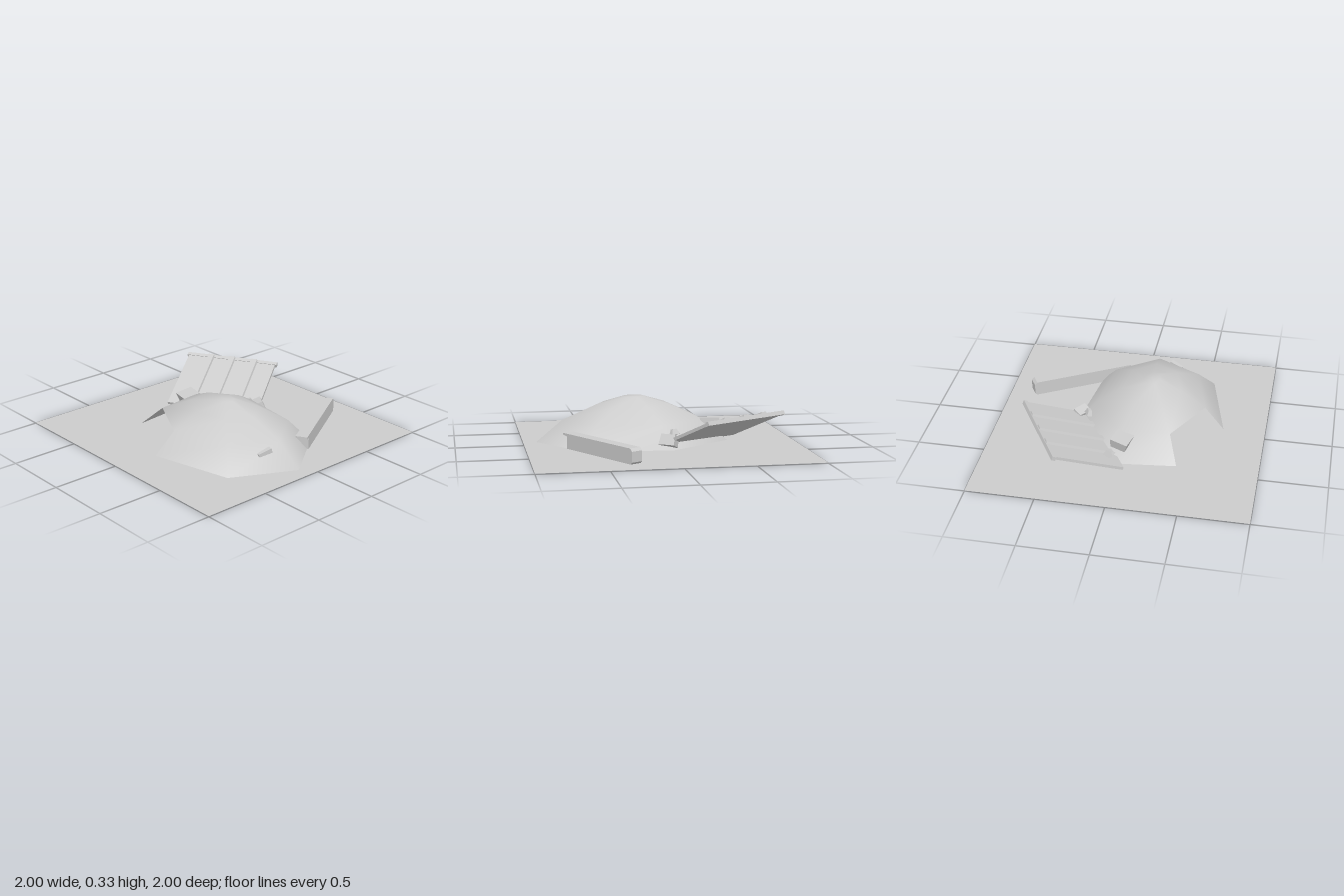
import * as THREE from 'three';

const grey = new THREE.MeshStandardMaterial({ color: 0xcccccc, side: THREE.DoubleSide });
grey.name = 'plain grey';

function add(parent, name, geometry, pos = [0, 0, 0], rot = [0, 0, 0]) {
  const mesh = new THREE.Mesh(geometry, grey);
  mesh.name = name;
  mesh.position.set(...pos);
  mesh.rotation.set(...rot, 'YXZ');
  parent.add(mesh);
  return mesh;
}

// Box whose top face is scaled to give a tapered block
function taperedBox(w, h, d, sx, sz) {
  const g = new THREE.BoxGeometry(w, h, d);
  const p = g.attributes.position;
  for (let i = 0; i < p.count; i++) {
    if (p.getY(i) > 0) p.setXYZ(i, p.getX(i) * sx, p.getY(i), p.getZ(i) * sz);
  }
  g.computeVertexNormals();
  return g;
}

// Seven-sided shell, with one lower wall left out as a doorway
function domeGeometry() {
  const base = [[0.065, 0.69], [0.67, 0.545], [0.905, 0.09], [0.605, -0.325],
    [-0.037, -0.407], [-0.509, -0.072], [-0.455, 0.412]];
  const rings = [[1, 0.002], [0.737, 0.16], [0.397, 0.265], [0.11, 0.325]];
  const cx = 0.17, cz = 0.13, n = base.length;
  const points = [], index = [];
  for (const [s, y] of rings) {
    for (const [x, z] of base) points.push(cx + (x - cx) * s, y, cz + (z - cz) * s);
  }
  points.push(cx, 0.325, cz);
  for (let r = 0; r < rings.length; r++) {
    for (let i = 0; i < n; i++) {
      if (r === 0 && i === n - 1) continue;
      const a = r * n + i, b = r * n + (i + 1) % n;
      if (r === rings.length - 1) index.push(a, b, n * rings.length);
      else index.push(a, b, b + n, a, b + n, a + n);
    }
  }
  const g = new THREE.BufferGeometry();
  g.setAttribute('position', new THREE.Float32BufferAttribute(points, 3));
  g.setIndex(index);
  g.computeVertexNormals();
  return g;
}

export function createModel() {
  const model = new THREE.Group();
  model.name = 'ruinedShelter';

  add(model, 'ground', new THREE.PlaneGeometry(2, 2).rotateX(-Math.PI / 2));
  add(model, 'dome', domeGeometry());

  // Fallen beam with slanted, chamfered ends
  const outline = [[-0.375, 0], [-0.39, 0.015], [-0.39, 0.09], [-0.37, 0.11],
    [0.4, 0.11], [0.4, 0.097], [0.355, 0.09], [0.355, 0]];
  const beamShape = new THREE.Shape(outline.map(([x, y]) => new THREE.Vector2(x, y)));
  const beam = new THREE.ExtrudeGeometry(beamShape, { depth: 0.088, bevelEnabled: false });
  beam.translate(0, 0.002, -0.044);
  add(model, 'beam', beam, [0.49, 0, -0.49], [0, -Math.PI / 3, 0]);

  // Leaning plank panel: local x runs along its top edge, local z down its slope
  const panel = new THREE.Group();
  panel.name = 'leaningPanel';
  panel.position.set(-0.53, 0.25, -0.575);
  panel.rotation.set(0.41, Math.PI / 6, 0, 'YXZ');
  model.add(panel);
  add(panel, 'panelBoard', new THREE.BoxGeometry(0.72, 0.022, 0.56), [0, 0, 0.28]);
  add(panel, 'topRail', new THREE.BoxGeometry(0.745, 0.03, 0.03), [0, 0, 0.005]);
  for (const x of [-0.175, 0, 0.185]) {
    add(panel, 'batten', taperedBox(0.06, 0.02, 0.56, 0.75, 1), [x, 0.017, 0.275]);
  }

  // Loose blocks at the foot of the panel
  add(model, 'leftBlock', taperedBox(0.11, 0.075, 0.11, 1.35, 1.2), [-0.39, 0.122, 0], [0.2, -0.22, 0]);
  add(model, 'leftBlockStem', taperedBox(0.05, 0.12, 0.05, 0.7, 0.7), [-0.4, 0.06, -0.02], [0.3, -0.2, 0]);
  add(model, 'leftChip', taperedBox(0.06, 0.04, 0.04, 0.5, 0.5), [-0.52, 0.1, -0.07], [0.3, 0.9, 0]);
  add(model, 'backBlock', taperedBox(0.12, 0.08, 0.08, 0.9, 0.9), [-0.01, 0.07, -0.38], [0.4, -0.6, 0]);
  add(model, 'backChip', taperedBox(0.07, 0.04, 0.04, 0.5, 0.6), [-0.06, 0.12, -0.31], [0.3, 0.5, 0]);

  // Small peg in the dome wall
  const peg = taperedBox(0.04, 0.1, 0.035, 0.65, 0.65).rotateX(Math.PI / 2);
  add(model, 'peg', peg, [0.71, 0.113, 0.235], [0.28, -0.3, 0]);

  return model;
}
